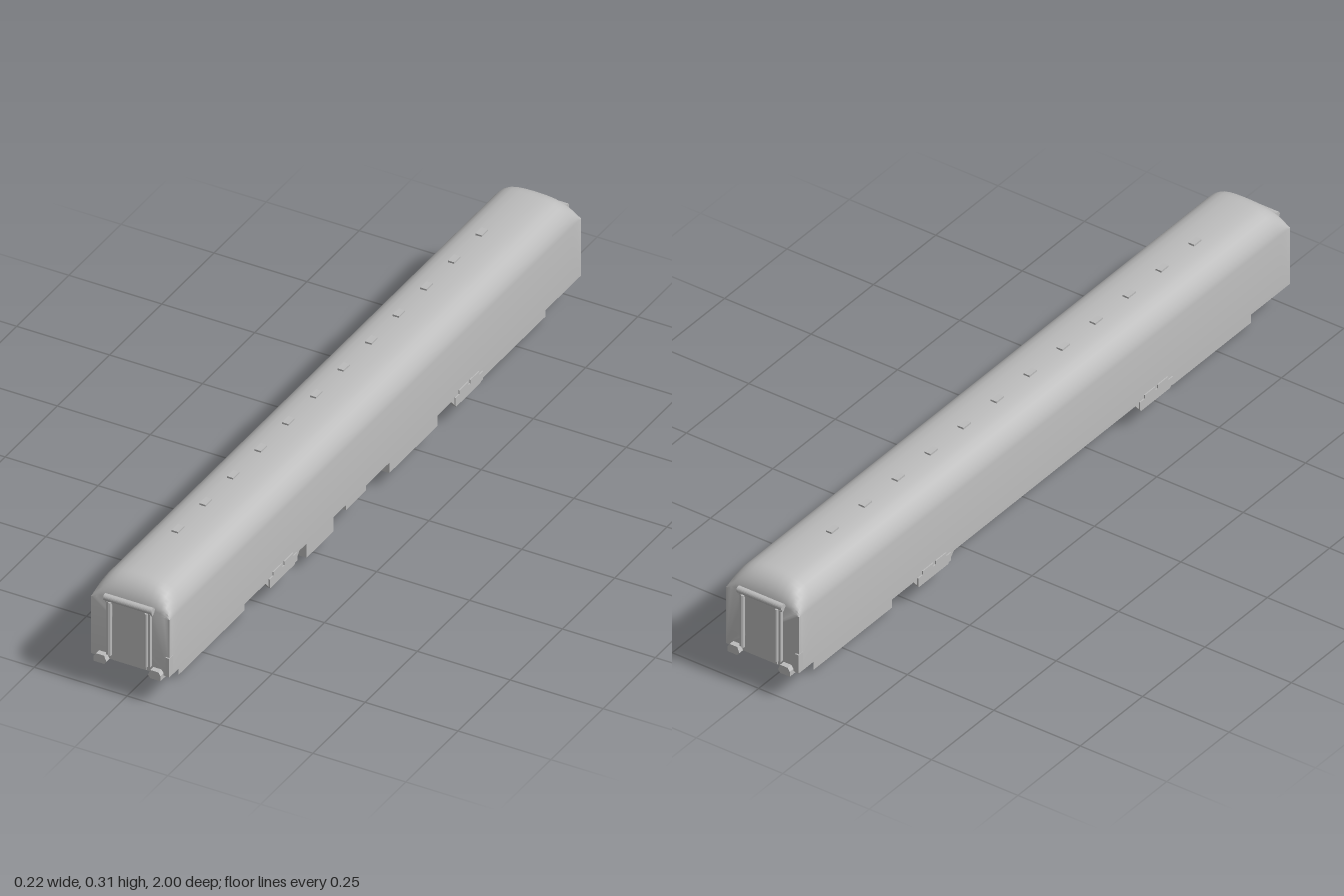
import * as THREE from 'three';
import { toCreasedNormals } from 'three/addons/utils/BufferGeometryUtils.js';

const grey = new THREE.MeshStandardMaterial({ color: 0xbcbcbc, side: THREE.DoubleSide });
grey.name = 'plain grey';

function add(parent, name, geometry, x = 0, y = 0, z = 0) {
  const mesh = new THREE.Mesh(geometry, grey);
  mesh.name = name;
  mesh.position.set(x, y, z);
  parent.add(mesh);
  return mesh;
}

// Box given by its minimum and maximum on each axis
function box(parent, name, x0, x1, y0, y1, z0, z1) {
  return add(parent, name, new THREE.BoxGeometry(x1 - x0, y1 - y0, z1 - z0),
    (x0 + x1) / 2, (y0 + y1) / 2, (z0 + z1) / 2);
}

function extrude(points, depth) {
  const shape = new THREE.Shape(points.map(([x, y]) => new THREE.Vector2(x, y)));
  return new THREE.ExtrudeGeometry(shape, { depth, bevelEnabled: false });
}

// Carbody: arched section lofted along z, roof curving down at both ends
function bodyGeometry() {
  const eaves = 0.238;
  const half = [[0.106, 0.078], [0.106, eaves], [0.104, 0.25], [0.099, 0.263], [0.091, 0.276],
    [0.08, 0.288], [0.066, 0.297], [0.05, 0.302], [0.028, 0.305], [0, 0.306]];
  const section = [...half, ...half.slice(0, -1).reverse().map(([x, y]) => [-x, y])];
  const n = section.length;
  const stations = [];
  for (let i = 0; i <= 8; i++) {
    const a = (i / 8) * Math.PI / 2;
    stations.push([0.925 + 0.06 * Math.sin(a), Math.max(0.06, Math.cos(a))]);
  }
  const all = [...stations.slice().reverse().map(([z, s]) => [-z, s]), ...stations];
  const pos = [], index = [];
  for (const [z, s] of all)
    for (const [x, y] of section) pos.push(x, y > eaves ? eaves + (y - eaves) * s : y, z);
  for (let i = 0; i < all.length - 1; i++)
    for (let j = 0; j < n; j++) {
      const k = (j + 1) % n;
      const a = i * n + j, b = i * n + k, c = b + n, d = a + n;
      index.push(a, b, c, a, c, d);
    }
  const last = (all.length - 1) * n;
  for (let j = 1; j < n - 1; j++) {
    index.push(last, last + j, last + j + 1);
    index.push(0, j + 1, j);
  }
  const g = new THREE.BufferGeometry();
  g.setAttribute('position', new THREE.Float32BufferAttribute(pos, 3));
  g.setIndex(index);
  return toCreasedNormals(g, 0.6);
}

// Gangway and fittings for the +z end
function makeEnd() {
  const end = new THREE.Group();
  end.name = 'carEnd';
  box(end, 'endDoor', -0.045, 0.045, 0.08, 0.24, 0.98, 0.988);
  box(end, 'gangwayLintel', -0.063, 0.063, 0.24, 0.247, 0.98, 0.994);
  const roll = add(end, 'gangwayTopRoll', toCreasedNormals(new THREE.CylinderGeometry(0.0085, 0.0085, 0.13, 20), 0.6),
    0, 0.2535, 0.9915);
  roll.rotation.z = Math.PI / 2;
  for (const s of [-1, 1]) {
    const inner = add(end, 'gangwayPost', toCreasedNormals(new THREE.CylinderGeometry(0.004, 0.004, 0.148, 12), 0.6),
      s * 0.049, 0.17, 0.994);
    inner.scale.z = 1.4;
    box(end, 'gangwayFrame', s * 0.0565 - 0.0025, s * 0.0565 + 0.0025, 0.095, 0.243, 0.98, 0.995);
    // end bracket below each corner
    const pts = [[0.056, 0.078], [0.062, 0.07], [0.09, 0.07], [0.09, 0.084], [0.084, 0.093], [0.062, 0.093]];
    add(end, 'endBracket', extrude(pts.map(([x, y]) => [s * x, y]), 0.055), 0, 0, 0.945);
  }
  box(end, 'cornerBar', 0.097, 0.107, 0.08, 0.132, 0.97, 0.989);
  return end;
}

// Bogie: centre beam, thin side frames and four flanged wheels
function makeBogie() {
  const bogie = new THREE.Group();
  bogie.name = 'bogie';
  box(bogie, 'bogieBeam', -0.035, 0.035, 0.021, 0.08, -0.133, 0.133);
  const wheelProfile = [[0.001, -0.005], [0.0325, -0.005], [0.0325, -0.002], [0.03, 0], [0.029, 0.005], [0.001, 0.005]]
    .map(([r, y]) => new THREE.Vector2(r, y));
  const wheelGeometry = toCreasedNormals(new THREE.LatheGeometry(wheelProfile, 28), 0.5);
  for (const s of [-1, 1]) {
    const frame = add(bogie, 'bogieSideFrame', new THREE.PlaneGeometry(0.316, 0.057), s * 0.07, 0.0405, 0);
    frame.rotation.y = s * Math.PI / 2;
    for (const e of [-1, 1]) {
      const wheel = add(bogie, 'wheel', wheelGeometry, s * 0.056, 0.0325, e * 0.094);
      wheel.rotation.z = -s * Math.PI / 2;
    }
  }
  return bogie;
}

// Hanging step on the +x side
function makeStep() {
  const step = new THREE.Group();
  step.name = 'sideStep';
  const plate = add(step, 'stepSkirt',
    extrude([[-0.082, 0.079], [-0.058, 0.052], [0.058, 0.052], [0.082, 0.079]], 0.008), 0.098, 0, 0);
  plate.rotation.y = Math.PI / 2;
  box(step, 'stepTread', 0.104, 0.109, 0.06, 0.082, -0.066, 0.066);
  for (const s of [-1, 1])
    box(step, 'stepPocket', 0.104, 0.109, 0.082, 0.092, s * 0.026 - 0.021, s * 0.026 + 0.021);
  return step;
}

export function createModel() {
  const car = new THREE.Group();
  car.name = 'railCar';
  add(car, 'carBody', bodyGeometry());

  // Row of roof vents
  for (let i = 0; i < 12; i++) {
    const z = -0.727 + i * 0.1322;
    box(car, 'roofVent', -0.025, -0.008, 0.3, 0.31, z - 0.015, z + 0.015);
  }

  // Equipment boxes under one side
  for (const [y, z0, z1] of [[0.034, 0.195, 0.324], [0.06, 0.04, 0.136], [0.045, -0.302, -0.072]])
    box(car, 'equipmentBox', 0.07, 0.103, y, 0.08, z0, z1);

  for (const s of [-1, 1]) {
    const end = makeEnd();
    const bogie = makeBogie();
    bogie.position.z = s * 0.72;
    if (s < 0) end.rotation.y = Math.PI;
    car.add(end, bogie);
    for (const t of [-1, 1]) {
      const step = makeStep();
      step.position.z = t * 0.445;
      if (s < 0) step.rotation.y = Math.PI;
      car.add(step);
    }
  }
  return car;
}
